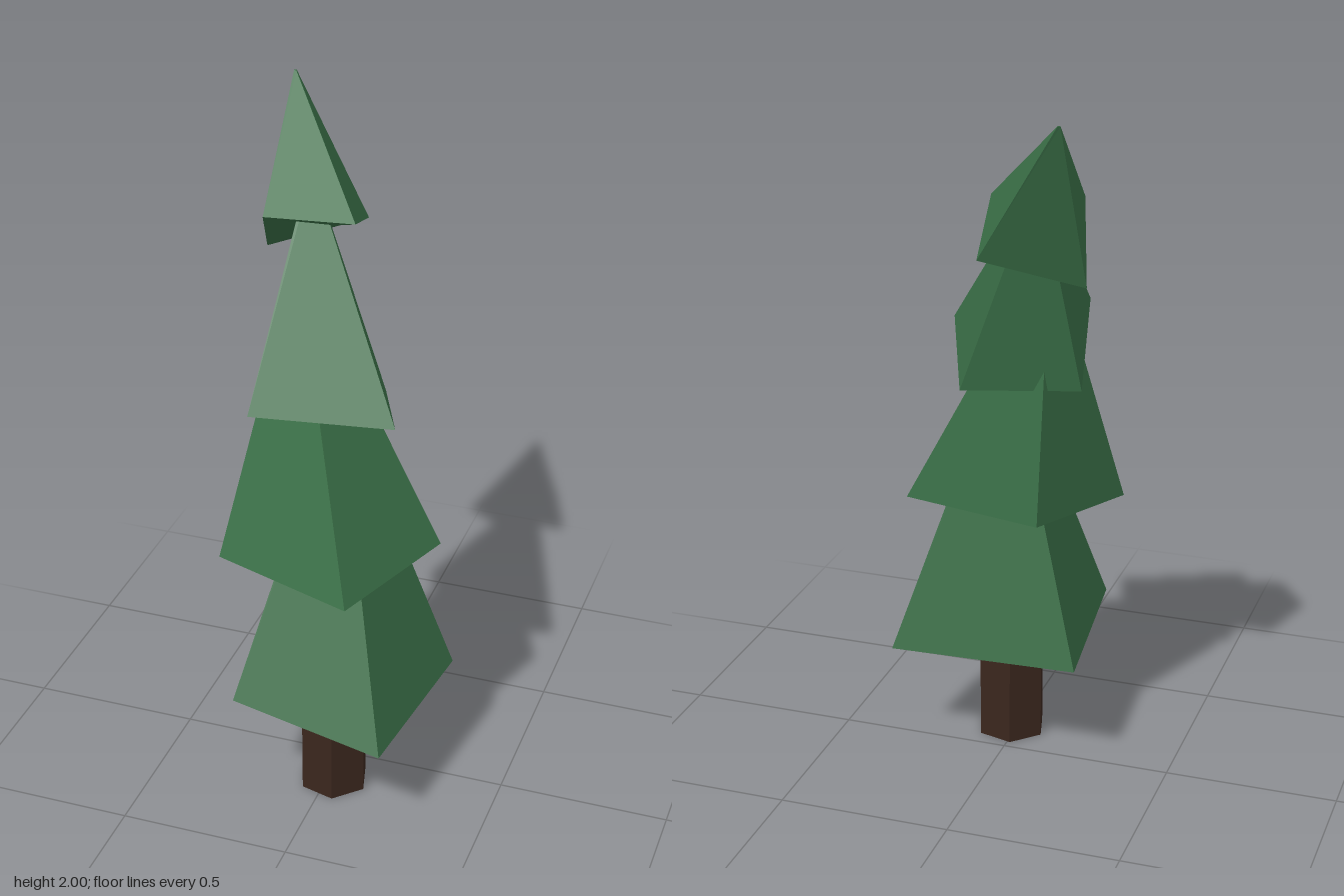
import * as THREE from 'three';

const green = new THREE.MeshStandardMaterial({ color: 0x3a6f47, flatShading: true });
const brown = new THREE.MeshStandardMaterial({ color: 0x3a261d, flatShading: true });

// Each tier: tip, then base corners front-right, front-left, back-left, back-right
const TIERS = [
  { name: 'bottomTier', tip: [0, 1.24, 0.03],
    base: [[-0.207, 0.386, 0.357], [0.24, 0.31, 0.383], [0.307, 0.33, -0.115], [-0.25, 0.345, -0.12]] },
  { name: 'lowerMiddleTier', tip: [-0.152, 1.575, -0.07],
    base: [[-0.295, 0.767, 0.213], [0.147, 0.8, 0.407], [0.284, 0.783, -0.035], [-0.15, 0.8, -0.164]] },
  { name: 'upperMiddleTier', tip: [-0.162, 1.8, -0.204],
    base: [[-0.148, 1.312, 0.342], [0.219, 1.265, 0.202], [0.075, 1.178, -0.16], [-0.25, 1.185, -0.08]] },
  { name: 'topTier', tip: [-0.28, 2, -0.407],
    base: [[-0.237, 1.72, -0.026], [0.013, 1.716, -0.07], [-0.041, 1.614, -0.347], [-0.308, 1.534, -0.241]] },
];

// Skewed four-sided pyramid with a slightly blunt tip
function pyramid({ name, tip, base }) {
  const peak = new THREE.Vector3(...tip);
  const low = base.map((p) => new THREE.Vector3(...p));
  const centre = low.reduce((s, p) => s.add(p), new THREE.Vector3()).divideScalar(4);
  const high = low.map((p) => p.clone().sub(centre).multiplyScalar(0.025).add(peak).setY(peak.y));
  const points = [];
  low.forEach((a, i) => {
    const j = (i + 1) % 4;
    const b = low[j];
    points.push(a, b, high[j], a, high[j], high[i]); // side
    points.push(high[i], high[j], peak); // blunt tip
    points.push(b, a, centre); // underside
  });
  const geometry = new THREE.BufferGeometry().setFromPoints(points);
  geometry.computeVertexNormals();
  const mesh = new THREE.Mesh(geometry, green);
  mesh.name = name;
  return mesh;
}

export function createModel() {
  const tree = new THREE.Group();
  tree.name = 'leaningTree';

  // Six-sided trunk, reaching up into the bottom tier
  const trunk = new THREE.Mesh(
    new THREE.CylinderGeometry(0.104, 0.104, 0.5, 6, 1, false, Math.PI / 12), brown);
  trunk.position.set(0.018, 0.25, 0.126);
  trunk.name = 'trunk';
  tree.add(trunk);

  // Foliage
  TIERS.forEach((tier) => tree.add(pyramid(tier)));
  return tree;
}
